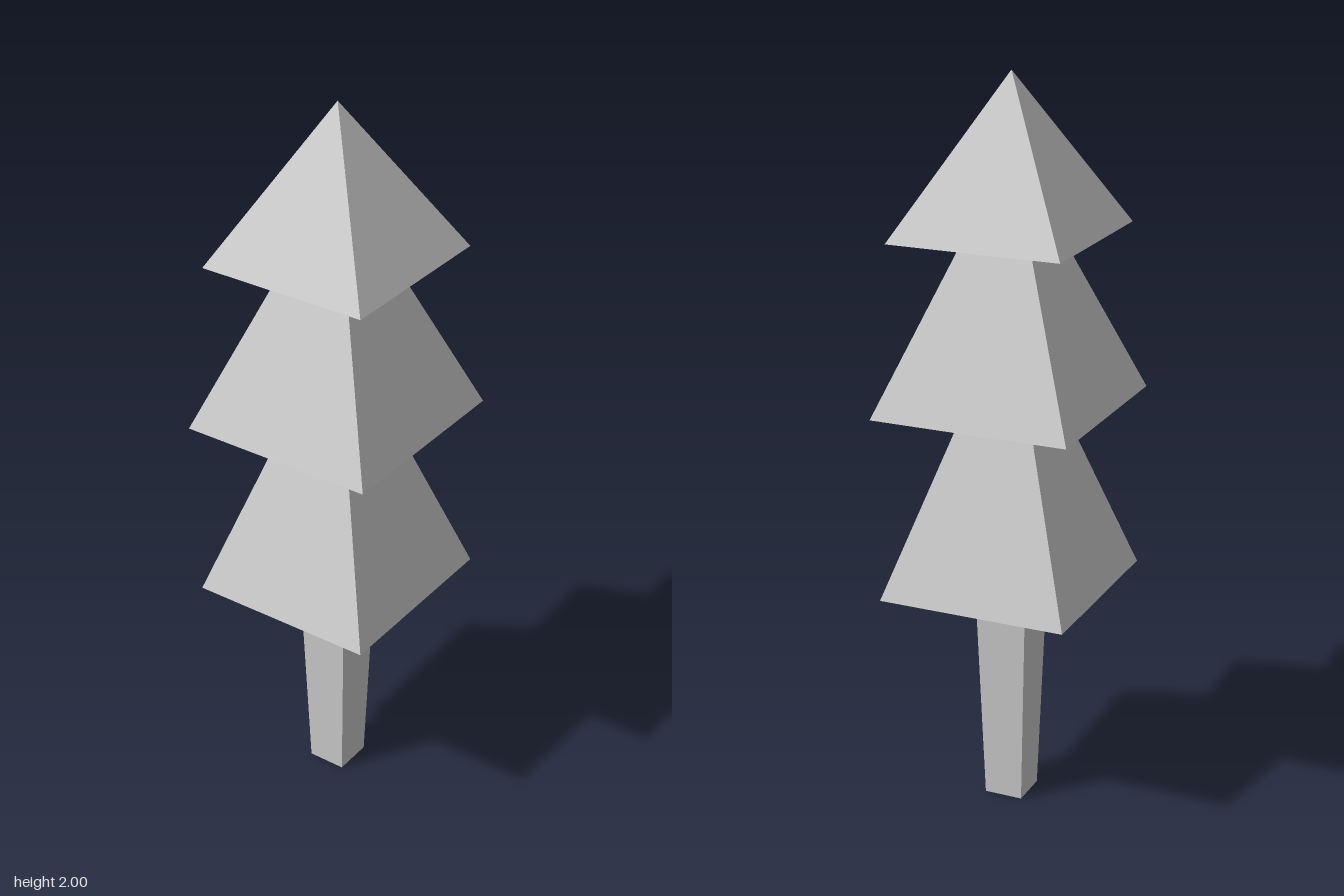
import * as THREE from 'three';

const DEPTH = 0.975; // the tree is slightly shallower than wide

// Square-section solid from [halfWidth, y] points, listed bottom to top
function squarePart(name, profile, material) {
  const points = profile.map(([half, y]) => new THREE.Vector2(half * Math.SQRT2, y));
  const geometry = new THREE.LatheGeometry(points, 4, Math.PI / 4);
  geometry.scale(1, 1, DEPTH);
  const mesh = new THREE.Mesh(geometry, material);
  mesh.name = name;
  return mesh;
}

export function createModel() {
  const tree = new THREE.Group();
  tree.name = 'tree';
  const material = new THREE.MeshStandardMaterial({ color: 0xcccccc, flatShading: true });

  // Trunk, narrowing towards the ground
  tree.add(squarePart('trunk', [[0, 0], [0.055, 0], [0.075, 0.62]], material));

  // Foliage tiers: underside slopes from the neck out to the rim, then sides rise to the top
  const tiers = [
    { name: 'lowerFoliage', neck: [0.075, 0.62], rim: [0.267, 0.626], top: [0.1, 1.112] },
    { name: 'middleFoliage', neck: [0.1, 1.112], rim: [0.279, 1.131], top: [0.1, 1.566] },
    { name: 'topFoliage', neck: [0.1, 1.566], rim: [0.243, 1.587], top: [0, 2] },
  ];
  for (const { name, neck, rim, top } of tiers) {
    tree.add(squarePart(name, [neck, rim, top], material));
  }
  return tree;
}
